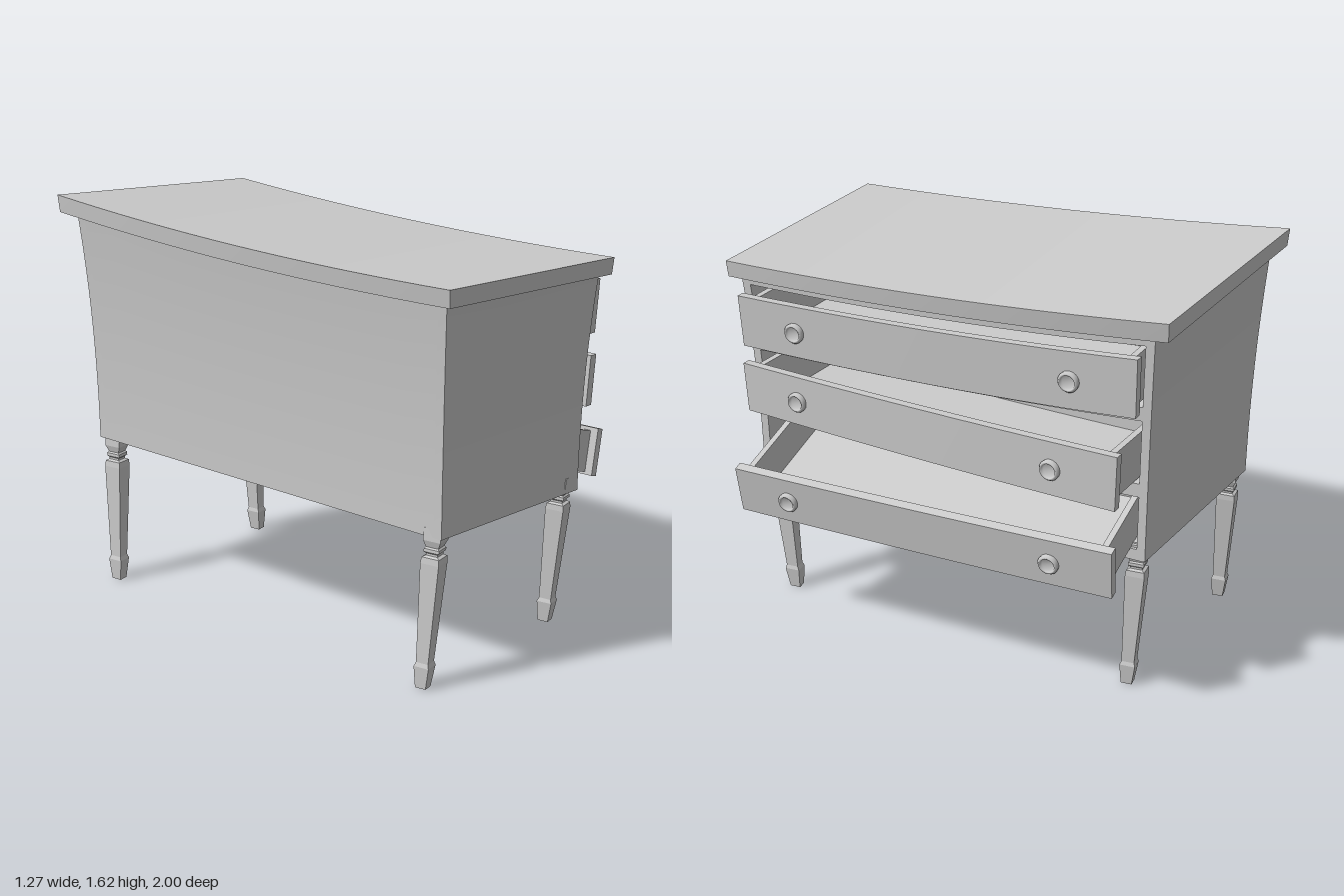
import * as THREE from 'three';

const V = (x, y, z) => new THREE.Vector3(x, y, z);
const material = new THREE.MeshStandardMaterial({ color: 0xcccccc, side: THREE.DoubleSide });

function addMesh(parent, name, geometry) {
  const mesh = new THREE.Mesh(geometry, material);
  mesh.name = name;
  parent.add(mesh);
  return mesh;
}

// Blend four corners: u runs back to front, t runs from the -z end to the +z end
function bilinear([backFar, frontFar, backNear, frontNear], u, t) {
  return backFar.clone().lerp(frontFar, u).lerp(backNear.clone().lerp(frontNear, u), t);
}

// Box over the ranges u, v, t, bent by a placing function
function bentBox(parent, name, place, [u0, u1], [v0, v1], [t0, t1], nv = 1, nt = 12) {
  const g = new THREE.BoxGeometry(1, 1, 1, 1, nv, nt);
  const p = g.attributes.position;
  for (let i = 0; i < p.count; i++) {
    const q = place(
      u0 + (u1 - u0) * (p.getX(i) + 0.5),
      v0 + (v1 - v0) * (p.getY(i) + 0.5),
      t0 + (t1 - t0) * (p.getZ(i) + 0.5));
    p.setXYZ(i, q.x, q.y, q.z);
  }
  g.computeVertexNormals();
  return addMesh(parent, name, g);
}

const sag = (t) => -4 * t * (1 - t);

// Carcass space: flares toward the top and sags along its length
const bodyBottom = [V(-0.46, 0.605, -0.915), V(0.36, 0.565, -0.79), V(-0.545, 0.587, 0.83), V(0.275, 0.555, 0.92)];
const bodyTop = [V(-0.505, 1.55, -0.945), V(0.385, 1.485, -0.805), V(-0.59, 1.46, 0.865), V(0.295, 1.412, 0.962)];
function bodySpace(u, v, t) {
  const a = bilinear(bodyBottom, u, t), b = bilinear(bodyTop, u, t);
  const q = a.clone().lerp(b, Math.pow(Math.max(v, 0), 2.2));
  q.y = a.y + (b.y - a.y) * v + 0.024 * v * sag(t);
  return q;
}

// Overhanging top board
const slabTop = [V(-0.555, 1.622, -1), V(0.435, 1.56, -0.87), V(-0.635, 1.527, 0.905), V(0.34, 1.475, 1)];
const slabBottom = [V(-0.55, 1.553, -0.995), V(0.42, 1.484, -0.865), V(-0.625, 1.46, 0.9), V(0.335, 1.41, 0.995)];
function slabSpace(u, v, t) {
  const q = bilinear(slabBottom, u, t).lerp(bilinear(slabTop, u, t), v);
  q.y += 0.024 * sag(t);
  q.x += 0.012 * sag(t) * (1 - u);
  return q;
}

// Tray drawer with a thicker front; corners are far/near end, bottom/top of the front face
function makeDrawer(name, { far, near, back, depth, droop, knobs }) {
  const drawer = new THREE.Group();
  drawer.name = name;
  const place = (u, h, t) => {
    const q = far[0].clone().lerp(far[1], h).lerp(near[0].clone().lerp(near[1], h), t);
    q.y += droop * sag(t);
    return q.addScaledVector(back, -u);
  };
  bentBox(drawer, 'drawerFront', place, [-0.035, 0], [0, 1], [0, 1]);
  for (const [side, t] of [['leftSide', 0.02], ['rightSide', 0.965]])
    bentBox(drawer, side, place, [-depth, -0.035], [0.06, 0.93], [t, t + 0.015], 1, 1);
  bentBox(drawer, 'drawerBack', place, [-depth, -depth + 0.025], [0.06, 0.93], [0.035, 0.965]);
  bentBox(drawer, 'drawerFloor', place, [-depth + 0.025, -0.035], [0.08, 0.14], [0.035, 0.965]);

  // Dished round knobs, turned to face out of the drawer front
  const profile = [[0, 0.008], [0.024, 0.008], [0.029, 0.019], [0.035, 0.02], [0.041, 0.012], [0.04, -0.004]]
    .map(([r, y]) => new THREE.Vector2(r, y)).reverse();
  for (const t of knobs) {
    const c = place(0, 0.49, t);
    const up = place(0, 0.6, t).sub(c), along = place(0, 0.49, t + 0.03).sub(c);
    const knob = addMesh(drawer, 'knob', new THREE.LatheGeometry(profile, 24));
    knob.position.copy(c);
    knob.quaternion.setFromUnitVectors(V(0, 1, 0), up.cross(along).normalize());
  }
  return drawer;
}

// Square tapered leg with a necked top and a block foot, leaning from top to bottom
function makeLeg(parent, name, [xTop, zTop, xFoot, zFoot]) {
  const profile = [[0, 0], [0.019, 0], [0.027, 0.085], [0.022, 0.1], [0.033, 0.485], [0.031, 0.508],
    [0.021, 0.514], [0.021, 0.522], [0.027, 0.528], [0.027, 0.54], [0.022, 0.546], [0.031, 0.572], [0.031, 0.62], [0, 0.62]]
    .map(([r, y]) => new THREE.Vector2(r * Math.SQRT2, y));
  const g = new THREE.LatheGeometry(profile, 4, Math.PI / 4).toNonIndexed();
  g.scale(1, 1, 1.15).rotateY(0.07);
  const p = g.attributes.position;
  for (let i = 0; i < p.count; i++) {
    const k = p.getY(i) / 0.55;
    p.setX(i, p.getX(i) + xFoot + (xTop - xFoot) * k);
    p.setZ(i, p.getZ(i) + zFoot + (zTop - zFoot) * k);
  }
  g.computeVertexNormals();
  addMesh(parent, name, g);
}

export function createModel() {
  const model = new THREE.Group();
  model.name = 'chestOfDrawers';

  // Top board and carcass panels
  bentBox(model, 'topBoard', slabSpace, [0, 1], [0, 1], [0, 1], 1, 16);
  const body = new THREE.Group();
  body.name = 'carcass';
  model.add(body);
  bentBox(body, 'leftSidePanel', bodySpace, [0, 1], [0, 1], [0, 0.02], 12, 1);
  bentBox(body, 'rightSidePanel', bodySpace, [0, 1], [0, 1], [0.98, 1], 12, 1);
  bentBox(body, 'backPanel', bodySpace, [0, 0.025], [0, 1], [0.02, 0.98], 12, 12);
  bentBox(body, 'bottomPanel', bodySpace, [0.025, 0.97], [0.05, 0.065], [0.02, 0.98]);

  // Front rails framing the drawer openings
  for (const [v0, v1] of [[0, 0.05], [0.29, 0.35], [0.63, 0.69], [0.955, 1]])
    bentBox(body, 'frontRail', bodySpace, [0.9, 1], [v0, v1], [0.02, 0.98]);

  // Drawers pulled out by different amounts; the lowest hangs down
  model.add(makeDrawer('topDrawer', {
    far: [V(0.475, 1.2, -0.775), V(0.49, 1.432, -0.78)],
    near: [V(0.4, 1.157, 0.9), V(0.41, 1.368, 0.908)],
    back: V(-1, 0.01, -0.05), depth: 0.6, droop: 0.018, knobs: [0.155, 0.85],
  }));
  model.add(makeDrawer('middleDrawer', {
    far: [V(0.588, 0.878, -0.75), V(0.597, 1.098, -0.757)],
    near: [V(0.385, 0.87, 0.905), V(0.39, 1.075, 0.915)],
    back: V(-1, 0.01, -0.09), depth: 0.6, droop: 0.008, knobs: [0.16, 0.845],
  }));
  model.add(makeDrawer('bottomDrawer', {
    far: [V(0.6, 0.528, -0.755), V(0.63, 0.728, -0.76)],
    near: [V(0.555, 0.515, 0.85), V(0.585, 0.708, 0.855)],
    back: V(-1, 0.3, -0.03), depth: 0.5, droop: 0.005, knobs: [0.155, 0.855],
  }));

  // Legs
  makeLeg(model, 'frontRightLeg', [0.222, 0.872, 0.225, 0.825]);
  makeLeg(model, 'backRightLeg', [-0.515, 0.785, -0.553, 0.765]);
  makeLeg(model, 'frontLeftLeg', [0.315, -0.748, 0.32, -0.725]);
  makeLeg(model, 'backLeftLeg', [-0.425, -0.857, -0.47, -0.83]);
  return model;
}
